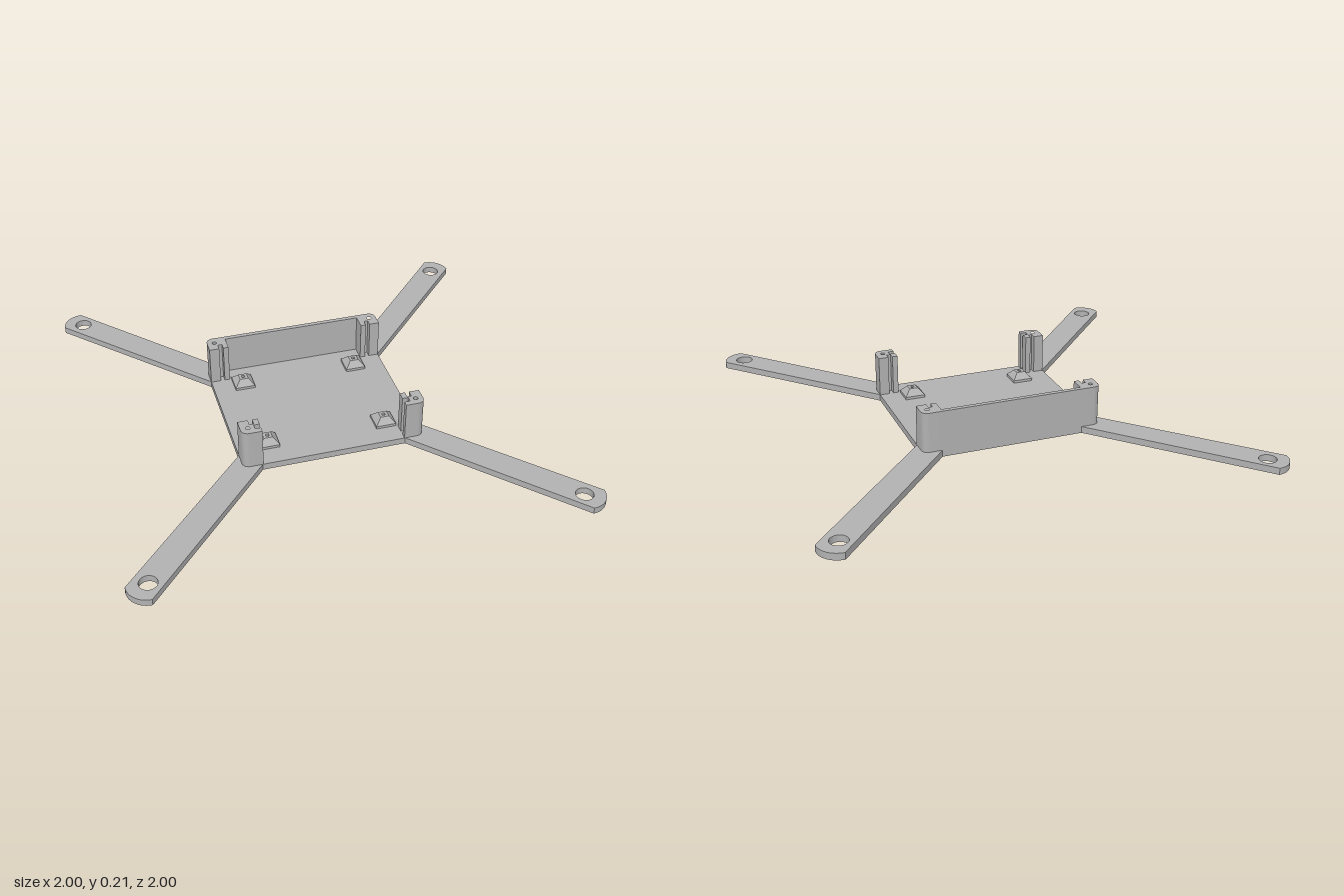
import * as THREE from 'three';
import { toCreasedNormals } from 'three/addons/utils/BufferGeometryUtils.js';

const BASE = 0.03;      // plate thickness
const TOP = 0.21;       // height of posts and rear wall
const HX = 0.405, HZ = 0.36; // half size of the deck
const CORNERS = [[1, 1], [-1, 1], [-1, -1], [1, -1]]; // in order round the deck

// Extrudes a plan drawn in (x, z) upward from y0 to y1
function extrudePlan(shape, y0, y1) {
  const geo = new THREE.ExtrudeGeometry(shape, { depth: y1 - y0, bevelEnabled: false, curveSegments: 24 });
  geo.rotateX(Math.PI / 2).translate(0, y1, 0);
  return toCreasedNormals(geo, 0.5);
}

function arc(cx, cy, r, a0, a1, n) {
  return Array.from({ length: n + 1 }, (_, i) => {
    const a = a0 + (a1 - a0) * i / n;
    return [cx + r * Math.cos(a), cy + r * Math.sin(a)];
  });
}

function hole(x, z, r) {
  return new THREE.Path().absarc(x, z, r, 0, Math.PI * 2, true);
}

const toVectors = (points) => points.map(([x, z]) => new THREE.Vector2(x, z));

// Deck with four diagonal arms, each with a rounded tip and a screw hole
function framePlan() {
  const arm = [[HX, 0.275], ...arc(0.91, 0.91, 0.09, 0, Math.PI / 2, 12), [0.32, HZ]];
  const outline = [];
  for (const [sx, sz] of CORNERS) {
    const side = arm.map(([x, z]) => [x * sx, z * sz]);
    outline.push(...(sx * sz > 0 ? side : side.reverse()));
  }
  const shape = new THREE.Shape(toVectors(outline));
  for (const [sx, sz] of CORNERS) shape.holes.push(hole(sx * 0.91, sz * 0.91, 0.038));
  return shape;
}

// Corner post measured inward from the deck corner; front posts have a second slot
function postPlan(sx, sz) {
  const r = 0.03, s = 0.088;
  const sideSlot = sz > 0
    ? [[s, 0.025], [0.062, 0.025], [0.062, 0.05], [s, 0.05]]
    : [];
  const local = [
    ...arc(r, r, r, Math.PI, Math.PI * 1.5, 6),
    [s, 0], ...sideSlot, [s, s],
    [0.064, s], [0.064, 0.058], [0.045, 0.058], [0.045, s], [0, s],
  ];
  const place = ([u, v]) => [sx * (HX - u), sz * (HZ - v)];
  const shape = new THREE.Shape(toVectors(local.map(place)));
  shape.holes.push(hole(...place([0.033, 0.037]), 0.01));
  return shape;
}

// Square tapered standoff with a small pilot hole
function standoffGeometry() {
  const profile = toVectors([[0.064, BASE], [0.064, 0.042], [0.027, 0.07], [0.01, 0.07], [0.01, 0.045], [0, 0.045]]);
  const geo = new THREE.LatheGeometry(profile, 4, Math.PI / 4).toNonIndexed();
  geo.computeVertexNormals();
  return geo;
}

export function createModel() {
  const model = new THREE.Group();
  model.name = 'quadFrame';
  const grey = new THREE.MeshStandardMaterial({ color: 0xb2b2b2 });
  grey.name = 'grey plastic';

  const add = (name, geo) => {
    const mesh = new THREE.Mesh(geo, grey);
    mesh.name = name;
    model.add(mesh);
    return mesh;
  };

  add('deckAndArms', extrudePlan(framePlan(), 0, BASE));

  // Thin wall joining the rear posts
  const wall = new THREE.BoxGeometry(0.636, TOP - BASE, 0.02);
  wall.translate(0, (TOP + BASE) / 2, -HZ + 0.01);
  add('rearWall', wall);

  const standoff = standoffGeometry();
  for (const [sx, sz] of CORNERS) {
    const label = (sz > 0 ? 'front' : 'rear') + (sx > 0 ? 'Left' : 'Right');
    add(label + 'Post', extrudePlan(postPlan(sx, sz), BASE, TOP));
    add(label + 'Standoff', standoff).position.set(sx * 0.265, 0, sz * 0.222);
  }
  return model;
}
